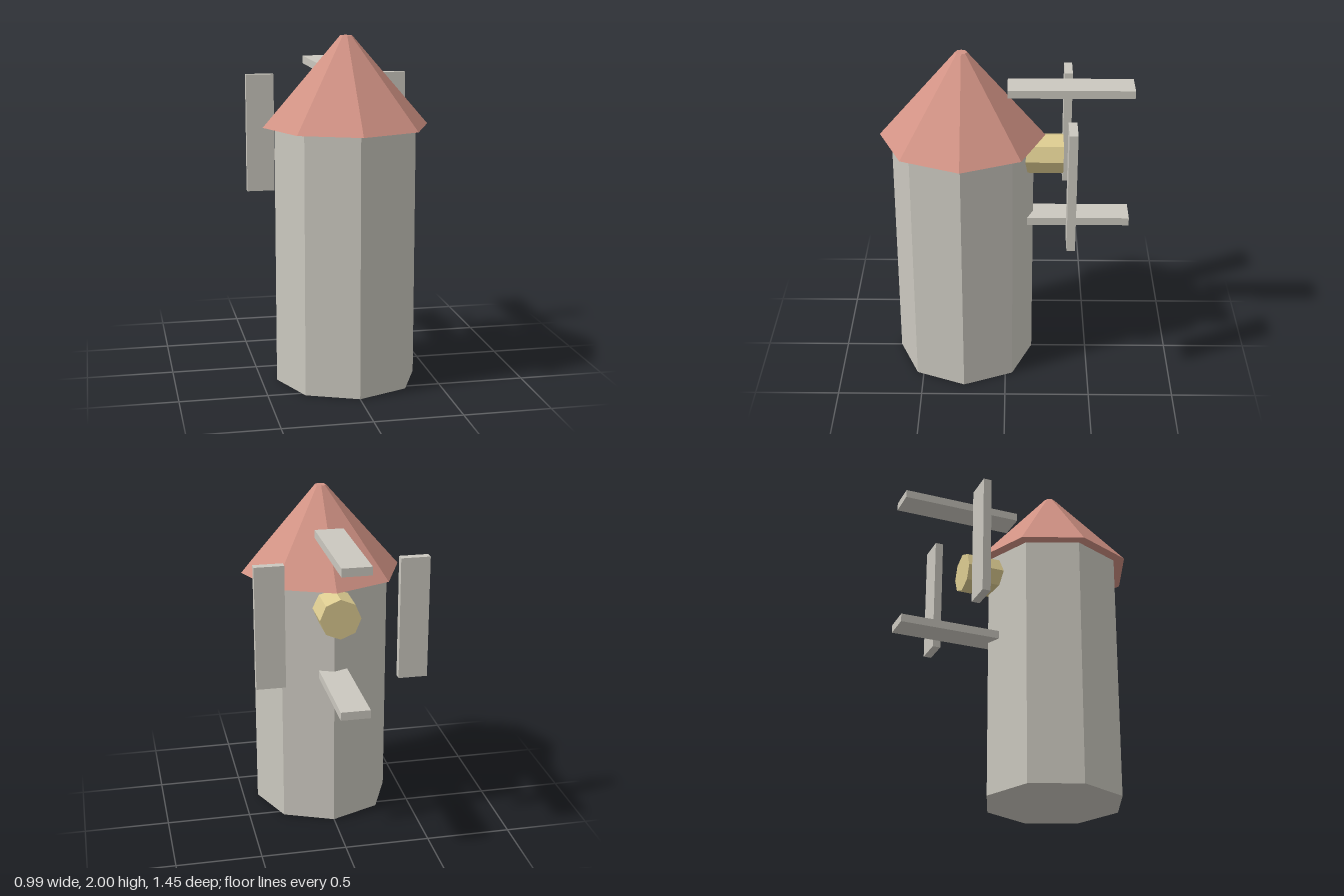
import * as THREE from 'three';

export function createModel() {
  const model = new THREE.Group();
  model.name = 'windmill';

  const flat = (name, color) => {
    const m = new THREE.MeshStandardMaterial({ color, flatShading: true });
    m.name = name;
    return m;
  };
  const stone = flat('pale stone', 0xcbc8bf);
  const tile = flat('roof terracotta', 0xd29385);
  const wood = flat('hub wood', 0xdccb90);

  const add = (name, geometry, material, x, y, z) => {
    const mesh = new THREE.Mesh(geometry, material);
    mesh.name = name;
    mesh.position.set(x, y, z);
    model.add(mesh);
    return mesh;
  };

  // Octagonal tower and its overhanging roof
  const towerZ = 0.248;
  add('tower', new THREE.CylinderGeometry(0.41, 0.41, 1.49, 8), stone, 0, 0.745, towerZ);
  add('roof', new THREE.CylinderGeometry(0.034, 0.477, 0.51, 8), tile, 0, 1.745, towerZ);

  // Hub running out of the back of the tower
  const hubY = 1.37;
  const hub = add('hub', new THREE.CylinderGeometry(0.119, 0.119, 0.24, 8), wood, 0, hubY, -0.213);
  hub.rotation.x = Math.PI / 2;

  // Four sails standing around the hub: upright at the sides, lying flat above and below
  const reach = 0.41, sailZ = -0.369;
  const upright = new THREE.BoxGeometry(0.168, 0.716, 0.048);
  const lying = new THREE.BoxGeometry(0.168, 0.048, 0.716);
  for (const s of [1, -1]) {
    add(s > 0 ? 'leftSail' : 'rightSail', upright, stone, s * reach, hubY, sailZ);
    add(s > 0 ? 'upperSail' : 'lowerSail', lying, stone, 0, hubY + s * reach, sailZ);
  }

  return model;
}
